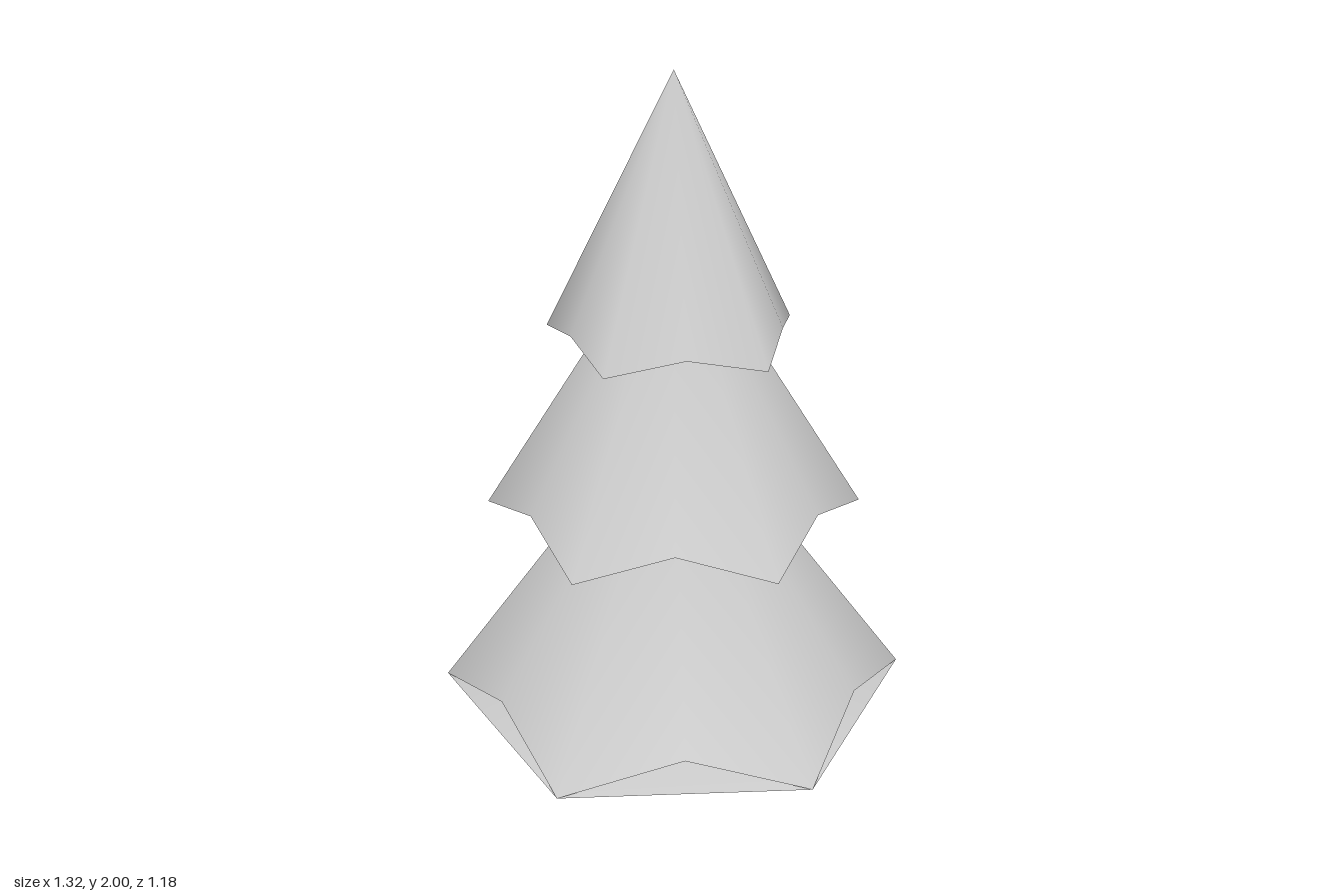
import * as THREE from 'three';

const grey = new THREE.MeshStandardMaterial({ color: 0xcccccc, side: THREE.DoubleSide });
grey.name = 'paleGrey';
const trunkGrey = grey;

// Smooth fan from an apex to a closed ring of points
function fan(name, apexY, ring, down = false) {
  const positions = [0, apexY, 0, ...ring.flat()];
  const index = [];
  for (let i = 0; i < ring.length; i++) {
    const a = i + 1, b = ((i + 1) % ring.length) + 1;
    if (down) index.push(0, a, b);
    else index.push(0, b, a);
  }
  const g = new THREE.BufferGeometry();
  g.setAttribute('position', new THREE.Float32BufferAttribute(positions, 3));
  g.setIndex(index);
  g.computeVertexNormals();
  const mesh = new THREE.Mesh(g, grey);
  mesh.name = name;
  return mesh;
}

const polar = (r, y, deg) => {
  const a = THREE.MathUtils.degToRad(deg);
  return [r * Math.cos(a), y, r * Math.sin(a)];
};

// Zigzag hem: low outer tips alternating with raised notches
function hem({ tips, start, tipR, tipY, notchR, notchY }) {
  const ring = [];
  for (let i = 0; i < tips; i++) {
    const deg = start + (i * 360) / tips;
    ring.push(polar(tipR, tipY, deg));
    ring.push(polar(notchR, notchY, deg + 180 / tips));
  }
  return ring;
}

export function createModel() {
  const tree = new THREE.Group();
  tree.name = 'firTree';

  // Three tiers of branches
  const tiers = [
    { name: 'lowerBranches', apex: 1.16, tips: 6, start: 3.3, tipR: 0.663, tipY: 0.265, notchR: 0.56, notchY: 0.36 },
    { name: 'middleBranches', apex: 1.64, tips: 6, start: 5.8, tipR: 0.516, tipY: 0.82, notchR: 0.435, notchY: 0.89 },
    { name: 'topBranches', apex: 2, tips: 5, start: -90, tipR: 0.347, tipY: 1.315, notchR: 0.288, notchY: 1.355 },
  ];
  for (const t of tiers) tree.add(fan(t.name, t.apex, hem(t)));

  // Shallow hollow underside closing the lowest tier, tip to tip
  const low = hem(tiers[0]).filter((_, i) => i % 2 === 0);
  tree.add(fan('underside', 0.45, low, true));

  // Square tapered trunk, set corner-on
  const trunkGeo = new THREE.CylinderGeometry(0.06, 0.087, 0.46, 4).toNonIndexed();
  trunkGeo.computeVertexNormals();
  const trunk = new THREE.Mesh(trunkGeo, trunkGrey);
  trunk.name = 'trunk';
  trunk.position.y = 0.23;
  tree.add(trunk);

  return tree;
}
